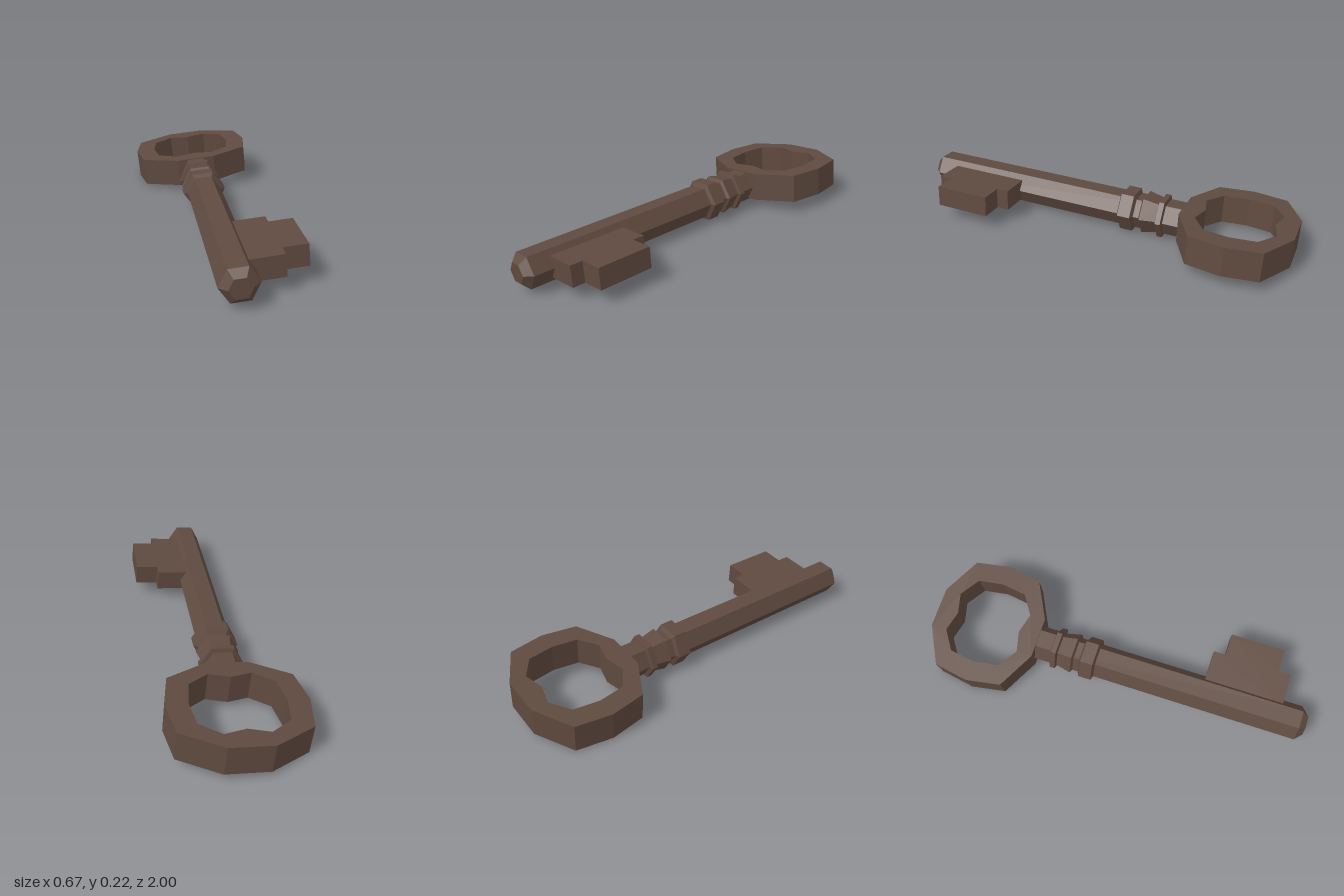
import * as THREE from 'three';

const material = new THREE.MeshStandardMaterial({ color: 0x5f4a3f, flatShading: true });

// Hexagonal turned part along z; profile is [radius, z] from back to front
function hexTurned(name, profile) {
  const points = profile.map(([r, z]) => new THREE.Vector2(r, z));
  const geometry = new THREE.LatheGeometry(points, 6, Math.PI / 2).rotateX(Math.PI / 2);
  const mesh = new THREE.Mesh(geometry, material);
  mesh.name = name;
  return mesh;
}

// Flat plate in the xz plane, centred on height y; shape coordinates are (x, -z)
function plate(name, shape, thickness, y) {
  const geometry = new THREE.ExtrudeGeometry(shape, { depth: thickness, bevelEnabled: false });
  geometry.translate(0, 0, -thickness / 2).rotateX(-Math.PI / 2);
  const mesh = new THREE.Mesh(geometry, material);
  mesh.name = name;
  mesh.position.y = y;
  return mesh;
}

// Closed outline from one quadrant running from the +x axis towards the +y axis
function mirrored(quadrant) {
  const half = [...quadrant];
  for (const [x, y] of [...quadrant].reverse()) if (x > 0) half.push([-x, y]);
  const all = [...half];
  for (const [x, y] of [...half].reverse()) if (y > 0) all.push([x, -y]);
  return all.map(([x, y]) => new THREE.Vector2(x, y));
}

export function createModel() {
  const model = new THREE.Group();
  model.name = 'key';

  // Whole key lies slightly rolled about its long axis
  const key = new THREE.Group();
  key.name = 'rolledKey';
  key.position.set(-0.0035, 0.106, 0);
  key.rotation.z = 0.0995;
  model.add(key);

  // Shaft with chamfered tip
  key.add(hexTurned('shaft', [[0, -0.46], [0.09, -0.46], [0.09, 0.965], [0.053, 1], [0, 1]]));

  // Collars between shaft and bow
  key.add(hexTurned('frontCollar', [
    [0.088, -0.2], [0.113, -0.188], [0.113, -0.122], [0.088, -0.112],
  ]));
  key.add(hexTurned('taperedCollar', [[0.09, -0.318], [0.108, -0.238], [0.088, -0.228]]));
  key.add(hexTurned('rearCollar', [
    [0.088, -0.356], [0.111, -0.35], [0.111, -0.323], [0.088, -0.317],
  ]));

  // Ring-shaped bow with a faceted opening
  const bow = new THREE.Shape(mirrored([[0.327, 0], [0.297, 0.178], [0.104, 0.28]]));
  bow.holes.push(new THREE.Path(mirrored([[0.222, 0], [0.203, 0.13], [0.104, 0.198], [0, 0.172]])));
  const ring = plate('bow', bow, 0.15, 0.007);
  ring.position.z = -0.72;
  key.add(ring);

  // Stepped bit on the left side
  const bit = new THREE.Shape([
    [0.03, -0.86], [0.218, -0.86], [0.218, -0.795], [0.334, -0.795],
    [0.334, -0.513], [0.218, -0.513], [0.218, -0.45], [0.03, -0.45],
  ].map(([x, y]) => new THREE.Vector2(x, y)));
  key.add(plate('bit', bit, 0.106, -0.002));

  return model;
}
